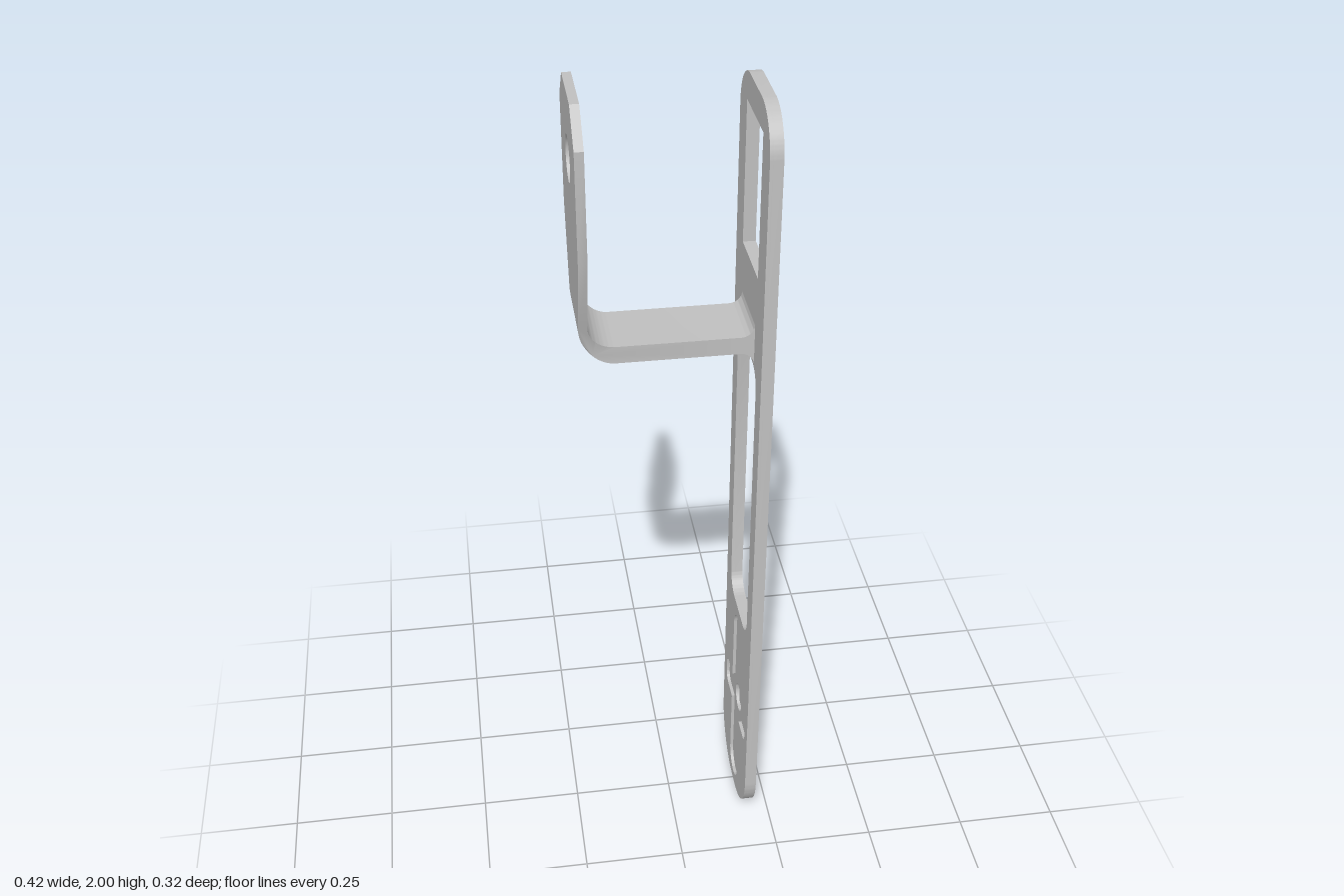
import * as THREE from 'three';
import { toCreasedNormals } from 'three/addons/utils/BufferGeometryUtils.js';

const steel = new THREE.MeshStandardMaterial({ color: 0xc0c0c0 });
steel.name = 'plain steel';

// Rounded rectangle centred on z = 0, with separate bottom and top corner radii
function roundedRect(path, w, y0, y1, rb, rt = rb) {
  path.moveTo(-w + rb, y0);
  path.lineTo(w - rb, y0);
  path.absarc(w - rb, y0 + rb, rb, -Math.PI / 2, 0);
  path.lineTo(w, y1 - rt);
  path.absarc(w - rt, y1 - rt, rt, 0, Math.PI / 2);
  path.lineTo(-w + rt, y1);
  path.absarc(-w + rt, y1 - rt, rt, Math.PI / 2, Math.PI);
  path.lineTo(-w, y0 + rb);
  path.absarc(-w + rb, y0 + rb, rb, Math.PI, Math.PI * 1.5);
  return path;
}

function circle(y, r) {
  return new THREE.Path().absarc(0, y, r, 0, Math.PI * 2);
}

function polygon(path, points) {
  return path.setFromPoints(points.map(([a, b]) => new THREE.Vector2(a, b)));
}

// Upright sheet drawn in the z-y plane, spanning x0 to x1
function sheet(name, shape, x0, x1) {
  const geo = new THREE.ExtrudeGeometry(shape, { depth: x1 - x0, bevelEnabled: false, curveSegments: 16 });
  geo.rotateY(Math.PI / 2).translate(x0, 0, 0);
  const mesh = new THREE.Mesh(toCreasedNormals(geo, 0.5), steel);
  mesh.name = name;
  return mesh;
}

// Cross-shaped recess around the lower screw hole, with rounded arm ends
function crossPath() {
  const cy = 0.3, v = 0.05, h = 0.04, top = 0.27, side = 0.13, r = 0.025;
  const p = new THREE.Path();
  p.moveTo(v, cy - h);
  p.lineTo(side - r, cy - h);
  p.absarc(side - r, cy - h + r, r, -Math.PI / 2, 0);
  p.absarc(side - r, cy + h - r, r, 0, Math.PI / 2);
  p.lineTo(v, cy + h);
  p.absarc(0, cy + top - v, v, 0, Math.PI);
  p.lineTo(-v, cy + h);
  p.absarc(-side + r, cy + h - r, r, Math.PI / 2, Math.PI);
  p.absarc(-side + r, cy - h + r, r, Math.PI, Math.PI * 1.5);
  p.lineTo(-v, cy - h);
  p.absarc(0, cy - top + v, v, Math.PI, Math.PI * 2);
  p.lineTo(v, cy - h);
  return p;
}

// Long plate layer: two windows and a bottom opening
function plateShape(bottomOpening) {
  const s = roundedRect(new THREE.Shape(), 0.162, 0.003, 1.985, 0.14, 0.1);
  s.holes.push(
    polygon(new THREE.Path(), [[-0.088, 1.59], [0.088, 1.59], [0.088, 1.92], [-0.088, 1.92]]),
    roundedRect(new THREE.Path(), 0.108, 0.6, 1.37, 0.05),
    bottomOpening
  );
  return s;
}

// Half width of the hook, tapering down to the strap
const strapTop = 1.443, strapBottom = 1.402, bendTop = 1.505, taperTop = 1.685;
function halfWidth(y) {
  const t = THREE.MathUtils.clamp((y - strapTop) / (taperTop - strapTop), 0, 1);
  return 0.078 + 0.077 * t;
}

export function createModel() {
  const group = new THREE.Group();
  group.name = 'bracket';

  // Long plate in two layers, the inner one cut through by the recess
  const plate = new THREE.Group();
  plate.name = 'longPlate';
  plate.add(sheet('plateOuterLayer', plateShape(circle(0.3, 0.037)), 0.187, 0.208));
  plate.add(sheet('plateRecessLayer', plateShape(crossPath()), 0.179, 0.187));
  group.add(plate);

  // Hook tab with chamfered top, tapered foot and a hole
  const b = halfWidth(bendTop);
  const tab = polygon(new THREE.Shape(), [
    [-b, bendTop], [b, bendTop], [0.155, taperTop], [0.155, 1.93],
    [0.086, 2], [-0.086, 2], [-0.155, 1.93], [-0.155, taperTop]
  ]);
  tab.holes.push(circle(1.85, 0.05));
  group.add(sheet('hookTab', tab, -0.208, -0.188));

  // Strap with a bend into the tab and fillets against the plate
  const p = new THREE.Shape();
  const f = 0.03, px = 0.179, bx = -0.126;
  p.moveTo(-0.208, bendTop);
  p.absellipse(bx, bendTop, bx + 0.208, bendTop - strapBottom, Math.PI, Math.PI * 1.5, false);
  p.lineTo(px - f, strapBottom);
  p.absarc(px - f, strapBottom - f, f, Math.PI / 2, 0, true);
  p.lineTo(px, strapTop + f);
  p.absarc(px - f, strapTop + f, f, 0, -Math.PI / 2, true);
  p.lineTo(bx, strapTop);
  p.absellipse(bx, bendTop, bx + 0.188, bendTop - strapTop, Math.PI * 1.5, Math.PI, true);
  p.lineTo(-0.208, bendTop);
  const geo = new THREE.ExtrudeGeometry(p, { depth: 1, bevelEnabled: false, curveSegments: 14 });
  const pos = geo.attributes.position;
  for (let i = 0; i < pos.count; i++) {
    // Only the tab side of the strap widens with height
    const w = pos.getX(i) < 0 ? halfWidth(pos.getY(i)) : 0.078;
    pos.setZ(i, (pos.getZ(i) > 0.5 ? 1 : -1) * w);
  }
  geo.computeVertexNormals();
  const strap = new THREE.Mesh(toCreasedNormals(geo, 0.5), steel);
  strap.name = 'strap';
  group.add(strap);

  return group;
}
